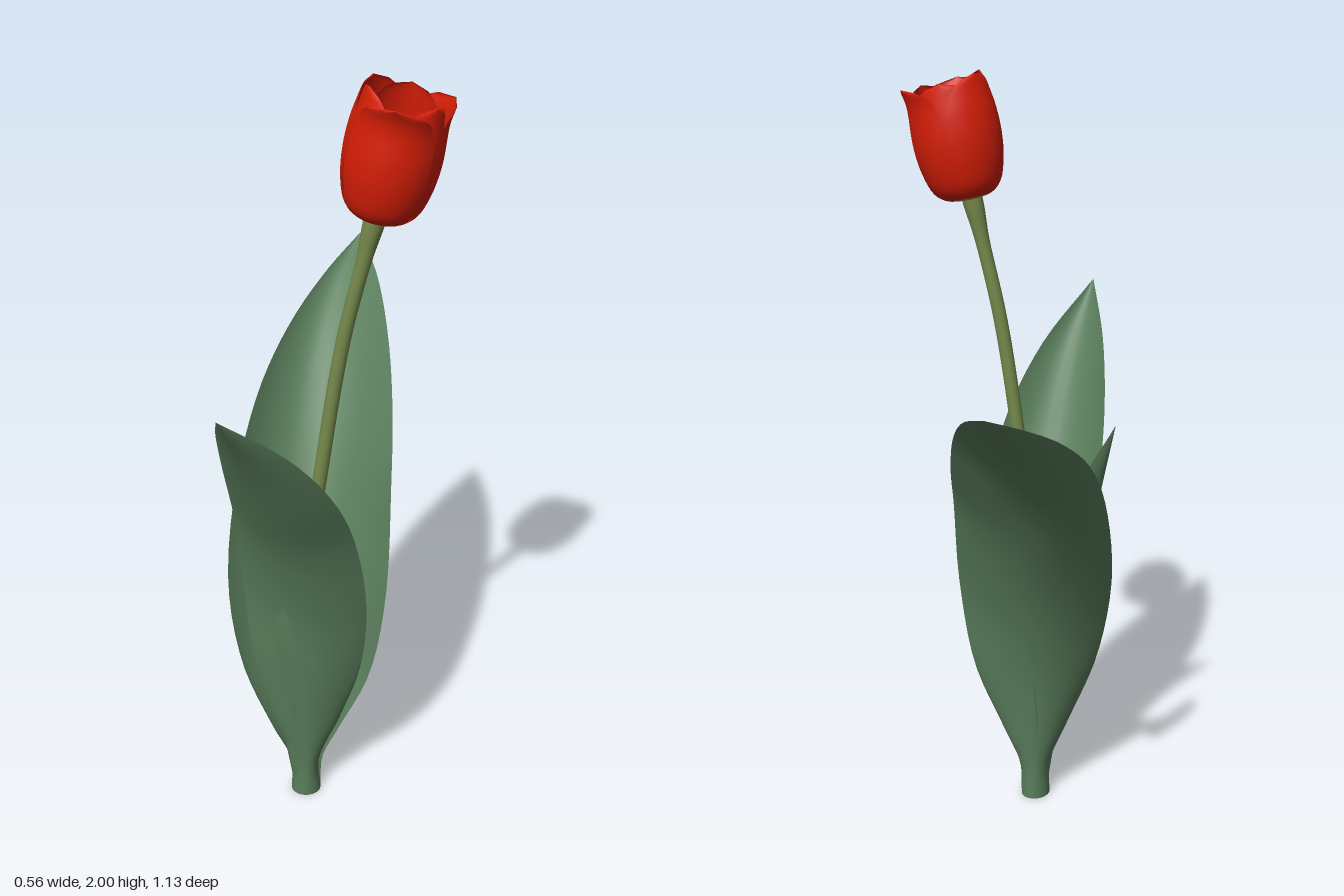
import * as THREE from 'three';

const mat = (name, color, double = true) => {
  const m = new THREE.MeshStandardMaterial({ color, side: double ? THREE.DoubleSide : THREE.FrontSide });
  m.name = name;
  return m;
};
const curve = pts => new THREE.CatmullRomCurve3(pts.map(p => new THREE.Vector3(...p)));

// Grid surface from f(u, v), u and v in 0..1; rows below splitRow form group 0, the rest group 1
function surface(f, nu, nv, splitRow = 0) {
  const pos = [], idx = [];
  for (let j = 0; j <= nv; j++)
    for (let i = 0; i <= nu; i++) pos.push(...f(i / nu, j / nv).toArray());
  for (let j = 0; j < nv; j++)
    for (let i = 0; i < nu; i++) {
      const a = j * (nu + 1) + i, b = a + 1, c = a + nu + 1, d = c + 1;
      idx.push(a, c, b, b, c, d);
    }
  const g = new THREE.BufferGeometry();
  g.setAttribute('position', new THREE.Float32BufferAttribute(pos, 3));
  g.setIndex(idx);
  if (splitRow) {
    g.addGroup(0, splitRow * nu * 6, 0);
    g.addGroup(splitRow * nu * 6, (nv - splitRow) * nu * 6, 1);
  }
  g.computeVertexNormals();
  return g;
}

// Channelled leaf spanning two edge curves and a midrib
function leafGeometry(left, mid, right) {
  const [L, M, R] = [left, mid, right].map(curve);
  return surface((u, v) => {
    const s = -Math.cos(u * Math.PI);
    const l = L.getPoint(v), m = M.getPoint(v), r = R.getPoint(v);
    const center = l.clone().add(r).multiplyScalar(0.5);
    const half = r.sub(l).multiplyScalar(0.5);
    const bow = THREE.MathUtils.lerp(Math.sqrt(Math.max(0, 1 - s * s)), 1 - s * s, Math.min(1, v * 2.5));
    return center.clone().addScaledVector(half, s).addScaledVector(m.sub(center), bow);
  }, 16, 40);
}

export function createModel() {
  const group = new THREE.Group();
  const leafGreen = mat('leaf green', 0x5b7f5d);
  const stemGreen = mat('stem green', 0x768a4c);
  const red = mat('petal red', 0xd61e06);
  const yellow = mat('petal base yellow', 0xc08a3c);
  const pistilGreen = mat('pistil green', 0x6f8f50, false);
  const add = (parent, name, geometry, material) => {
    const mesh = new THREE.Mesh(geometry, material);
    mesh.name = name;
    parent.add(mesh);
    return mesh;
  };

  // Leaves: left edge, midrib, right edge
  add(group, 'backLeaf', leafGeometry(
    [[-0.09, 0, 0.14], [-0.09, 0.1, 0.14], [-0.14, 0.22, 0.14], [-0.215, 0.42, 0.12], [-0.245, 0.66, 0.075],
      [-0.205, 0.92, -0.04], [-0.135, 1.09, -0.175], [-0.04, 1.205, -0.32], [0.07, 1.29, -0.455], [0.178, 1.355, -0.565]],
    [[-0.045, 0, 0.1], [-0.045, 0.1, 0.098], [-0.047, 0.2, 0.09], [-0.045, 0.4, 0.062], [-0.03, 0.62, -0.002],
      [-0.005, 0.83, -0.1], [0.025, 1.0, -0.2], [0.065, 1.14, -0.31], [0.12, 1.26, -0.435], [0.178, 1.355, -0.565]],
    [[-0.01, 0, 0.14], [-0.005, 0.1, 0.14], [0.035, 0.2, 0.15], [0.115, 0.4, 0.175], [0.155, 0.65, 0.175],
      [0.178, 0.92, 0.075], [0.198, 1.06, -0.055], [0.207, 1.19, -0.2], [0.203, 1.295, -0.39], [0.178, 1.355, -0.565]],
  ), leafGreen);
  add(group, 'frontLeaf', leafGeometry(
    [[-0.09, 0, 0.14], [-0.09, 0.1, 0.14], [-0.145, 0.28, 0.15], [-0.19, 0.48, 0.15], [-0.208, 0.7, 0.15],
      [-0.23, 0.92, 0.185], [-0.257, 1.1, 0.265], [-0.275, 1.26, 0.39], [-0.28, 1.39, 0.562]],
    [[-0.05, 0, 0.178], [-0.05, 0.1, 0.182], [-0.052, 0.25, 0.197], [-0.06, 0.43, 0.22], [-0.078, 0.64, 0.246],
      [-0.11, 0.85, 0.3], [-0.155, 1.04, 0.385], [-0.21, 1.22, 0.47], [-0.28, 1.39, 0.562]],
    [[-0.01, 0, 0.14], [-0.015, 0.1, 0.14], [0.04, 0.26, 0.165], [0.088, 0.44, 0.195], [0.096, 0.66, 0.235],
      [0.055, 0.9, 0.3], [-0.01, 1.07, 0.38], [-0.12, 1.235, 0.468], [-0.28, 1.39, 0.562]],
  ), leafGreen);
  add(group, 'sideLeaf', leafGeometry(
    [[-0.055, 0, 0.165], [-0.075, 0.2, 0.18], [-0.085, 0.4, 0.218], [-0.098, 0.62, 0.246], [-0.185, 0.9, 0.185], [-0.25, 1.11, 0.085]],
    [[-0.08, 0, 0.14], [-0.11, 0.2, 0.14], [-0.145, 0.42, 0.135], [-0.175, 0.65, 0.125], [-0.21, 0.88, 0.11], [-0.25, 1.11, 0.085]],
    [[-0.055, 0, 0.115], [-0.045, 0.2, 0.09], [-0.03, 0.42, 0.065], [-0.025, 0.65, 0.052], [-0.11, 0.89, 0.058], [-0.25, 1.11, 0.085]],
  ), leafGreen);

  // Stem, thinnest in the middle and flared under the flower
  const path = curve([[-0.05, 0, 0.14], [-0.06, 0.35, 0.14], [-0.048, 0.7, 0.147], [-0.008, 1.05, 0.161],
    [0.038, 1.38, 0.178], [0.085, 1.6, 0.194], [0.11, 1.71, 0.2]]);
  const stemRadius = v => 0.018 + 0.01 * Math.max(0, 1 - v * 3) + 0.009 * THREE.MathUtils.smoothstep(v, 0.78, 0.98);
  add(group, 'stem', surface((u, v) => {
    const a = u * Math.PI * 2, r = stemRadius(v);
    return path.getPoint(v).add(new THREE.Vector3(Math.cos(a) * r, 0, Math.sin(a) * r));
  }, 14, 36), stemGreen);
  const foot = add(group, 'stemFoot', new THREE.CircleGeometry(0.028, 14), stemGreen);
  foot.rotation.x = Math.PI / 2;
  foot.position.set(-0.05, 0, 0.14);

  // Flower head, leaning with the stem
  const flower = new THREE.Group();
  flower.name = 'flower';
  flower.position.set(0.112, 1.69, 0.198);
  flower.rotation.set(0.06, 0, -0.18);
  group.add(flower);

  // Cupped petals in two rings of three; flare bends the tip outward
  const profile = curve([[0.012, 0.004, 0], [0.055, 0.006, 0], [0.085, 0.03, 0], [0.104, 0.085, 0], [0.112, 0.15, 0],
    [0.11, 0.215, 0], [0.103, 0.265, 0], [0.097, 0.305, 0]]);
  const petalGeometry = (scale, height, flare) => surface((u, v) => {
    const s = u * 2 - 1, p = profile.getPoint(v);
    const width = v < 0.55 ? 1 : Math.pow(Math.max(0, 1 - Math.pow((v - 0.55) / 0.45, 3)), 0.5);
    const a = s * width;
    const r = p.x * scale - 0.004 * s * s * v + flare * Math.pow(Math.max(0, v - 0.7) / 0.3, 2);
    return new THREE.Vector3(Math.cos(a) * r, p.y * height, Math.sin(a) * r);
  }, 14, 28, 5);
  for (let i = 0; i < 3; i++) {
    const turn = i * Math.PI * 2 / 3;
    const outer = add(flower, 'outerPetal', petalGeometry(1, [0.96, 0.95, 0.99][i], [0.022, 0.032, 0][i]), [yellow, red]);
    outer.rotation.y = 0.2 - turn;
    const inner = add(flower, 'innerPetal', petalGeometry(0.93, [0.95, 0.99, 0.96][i], 0), [yellow, red]);
    inner.rotation.y = 0.2 - turn - Math.PI / 3;
  }

  // Pistil
  const pistil = add(flower, 'pistil', new THREE.CapsuleGeometry(0.023, 0.04, 8, 16), pistilGreen);
  pistil.position.set(-0.014, 0.04, -0.006);
  return group;
}
